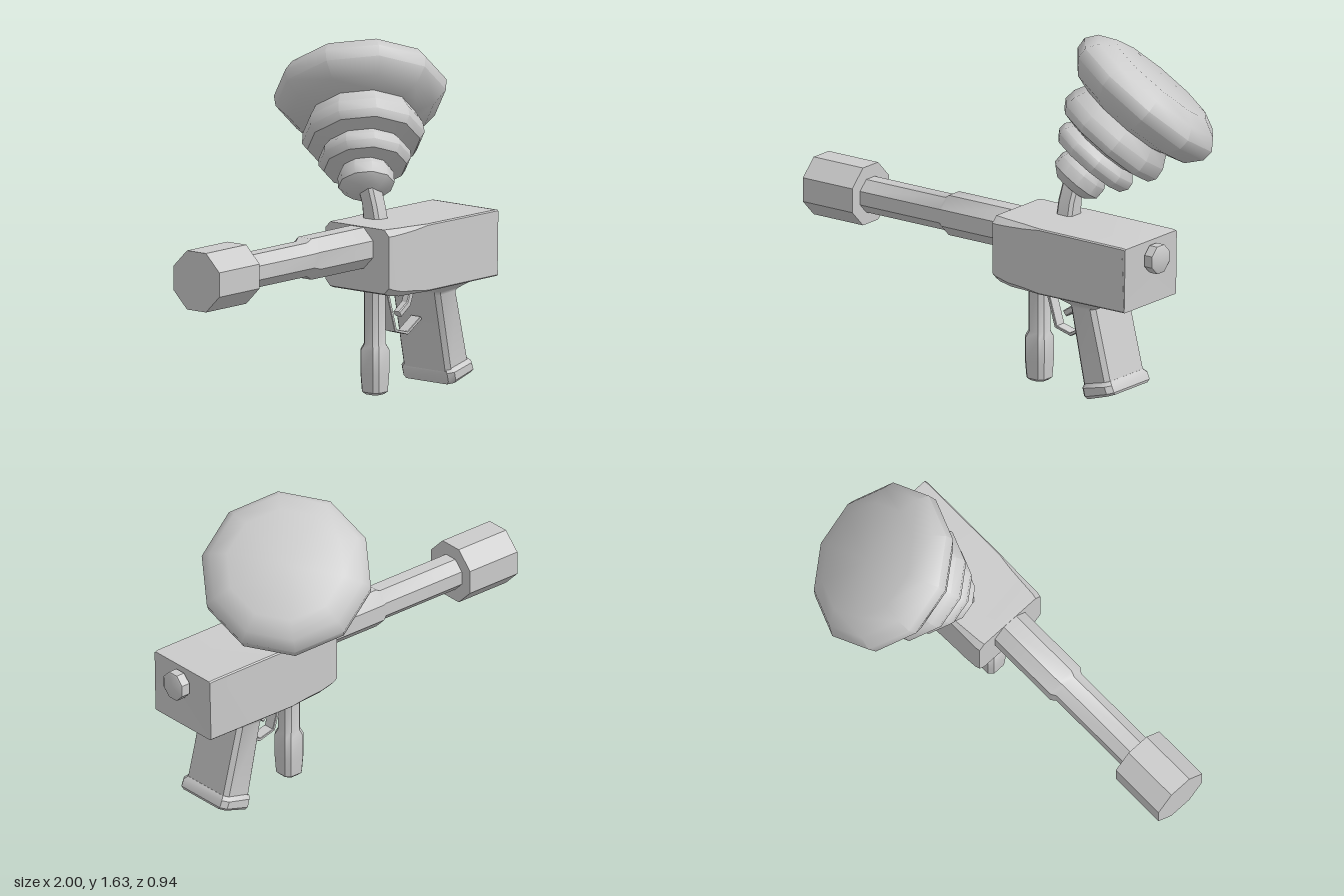
import * as THREE from 'three';
import { toCreasedNormals } from 'three/addons/utils/BufferGeometryUtils.js';

const Z = 0.262; // centre plane of body, barrel and grips
const material = new THREE.MeshStandardMaterial({ color: 0xcccccc });

function addPart(group, name, geometry, crease = 0.6) {
  const mesh = new THREE.Mesh(toCreasedNormals(geometry, crease), material);
  mesh.name = name;
  group.add(mesh);
  return mesh;
}

// Chamfered rectangle: spans a -> b in the xy plane and z0 +- hz, with corner cut c
function section(a, b, hz, c, z0 = Z) {
  const len = Math.hypot(b[0] - a[0], b[1] - a[1]), h = len / 2;
  const dx = (b[0] - a[0]) / len, dy = (b[1] - a[1]) / len;
  const mx = (a[0] + b[0]) / 2, my = (a[1] + b[1]) / 2;
  const uv = [
    [hz, c - h], [hz, h - c], [hz - c, h], [c - hz, h],
    [-hz, h - c], [-hz, c - h], [c - hz, -h], [hz - c, -h],
  ];
  return uv.map(([u, v]) => [mx + dx * v, my + dy * v, z0 + u]);
}

// Skin a row of sections and cap both ends
function loft(rings) {
  const n = rings[0].length, index = [], last = (rings.length - 1) * n;
  for (let i = 0; i < rings.length - 1; i++) {
    for (let j = 0; j < n; j++) {
      const k = (j + 1) % n, a = i * n, b = a + n;
      index.push(a + j, a + k, b + k, a + j, b + k, b + j);
    }
  }
  for (let j = 1; j < n - 1; j++) {
    index.push(0, j + 1, j, last, last + j, last + j + 1);
  }
  const geo = new THREE.BufferGeometry();
  geo.setAttribute('position', new THREE.Float32BufferAttribute(rings.flat(2), 3));
  geo.setIndex(index);
  return geo;
}

// Turned part along x, given [x, distance to flat] pairs, with flat top and bottom
function turnedX(profile, y, sides = 8) {
  const k = 1 / Math.cos(Math.PI / sides);
  const pts = profile.map(([x, r]) => new THREE.Vector2(r * k, x));
  const geo = new THREE.LatheGeometry(pts, sides, Math.PI / sides);
  return geo.rotateZ(-Math.PI / 2).translate(0, y, Z);
}

// Bent strip of constant section following xy points
function strip(points, thick, hz) {
  const rings = points.map((p, i) => {
    const q = points[Math.max(i - 1, 0)], r = points[Math.min(i + 1, points.length - 1)];
    const len = Math.hypot(r[0] - q[0], r[1] - q[1]);
    const nx = ((r[1] - q[1]) / len) * thick / 2, ny = (-(r[0] - q[0]) / len) * thick / 2;
    return section([p[0] - nx, p[1] - ny], [p[0] + nx, p[1] + ny], hz, thick * 0.15);
  });
  return loft(rings);
}

export function createModel() {
  const model = new THREE.Group();
  model.name = 'hopperGun';

  // Receiver, softer at the barrel end
  addPart(model, 'body', loft([
    section([0.155, 0.815], [0.155, 0.51], 0.195, 0.03),
    section([0.18, 0.815], [0.18, 0.5], 0.2, 0.03),
    section([0.25, 0.812], [0.25, 0.488], 0.2, 0.025),
    section([0.34, 0.81], [0.34, 0.488], 0.2, 0.018),
    section([0.43, 0.808], [0.43, 0.488], 0.2, 0.006),
    section([0.92, 0.805], [0.932, 0.49], 0.2, 0.006),
    section([0.938, 0.802], [0.932, 0.492], 0.198, 0.006),
  ]));

  // Barrel and muzzle
  addPart(model, 'barrel', turnedX(
    [[-0.72, 0], [-0.72, 0.08], [-0.245, 0.08], [-0.22, 0.097], [0.17, 0.097], [0.17, 0]], 0.715));
  addPart(model, 'muzzle', turnedX([[-1, 0], [-1, 0.14], [-0.71, 0.14], [-0.71, 0]], 0.717));

  // Knob at the rear
  addPart(model, 'rearKnob', turnedX(
    [[0.92, 0], [0.92, 0.045], [0.95, 0.045], [0.95, 0.066], [0.995, 0.066], [1, 0.058], [1, 0]], 0.718));

  // Rear grip with flared top and base plate
  addPart(model, 'rearGrip', loft([
    section([0.645, 0.05], [0.8, 0.09], 0.145, 0.02),
    section([0.565, 0.44], [0.71, 0.45], 0.145, 0.02),
    section([0.56, 0.455], [0.72, 0.46], 0.15, 0.02),
    section([0.525, 0.492], [0.765, 0.495], 0.195, 0.01),
  ]));
  addPart(model, 'gripBase', loft([
    section([0.655, 0.005], [0.822, 0.055], 0.15, 0.025),
    section([0.65, 0.02], [0.825, 0.068], 0.162, 0.025),
    section([0.64, 0.06], [0.812, 0.1], 0.162, 0.025),
    section([0.645, 0.08], [0.795, 0.115], 0.145, 0.02),
  ]));

  // Front grip, thicker in its lower half
  const foreLevels = [[0, 0.04], [0.012, 0.052], [0.1, 0.057], [0.21, 0.057], [0.24, 0.045], [0.5, 0.045]];
  addPart(model, 'frontGrip', loft(foreLevels.map(([y, h]) =>
    section([0.282 - h, y], [0.282 + h, y], h, 0.02))));

  // Trigger and its guard
  addPart(model, 'triggerGuard', strip(
    [[0.335, 0.5], [0.35, 0.45], [0.4, 0.285], [0.485, 0.262], [0.58, 0.32]], 0.016, 0.03));
  addPart(model, 'trigger', strip(
    [[0.56, 0.485], [0.53, 0.455], [0.505, 0.395], [0.445, 0.355]], 0.032, 0.02));

  // Feed neck leaning back to the hopper
  addPart(model, 'feedNeck', loft([
    section([0.343, 0.78], [0.433, 0.78], 0.05, 0.015, 0.18),
    section([0.343, 0.87], [0.433, 0.87], 0.045, 0.015, 0.165),
    section([0.348, 0.97], [0.438, 0.97], 0.045, 0.015, 0.13),
  ]));

  // Ribbed hopper: [radius, distance along its tilted axis]
  const ribs = [
    [0, -0.555], [0.085, -0.55], [0.132, -0.51], [0.132, -0.455], [0.115, -0.425],
    [0.195, -0.415], [0.218, -0.38], [0.215, -0.345], [0.185, -0.31],
    [0.265, -0.29], [0.288, -0.255], [0.282, -0.2], [0.25, -0.14],
    [0.34, -0.11], [0.4, -0.04], [0.405, 0.015], [0.365, 0.07], [0.28, 0.112], [0, 0.112],
  ];
  const hopper = addPart(model, 'hopper', new THREE.LatheGeometry(
    ribs.map(([r, t]) => new THREE.Vector2(r, t)), 10), 0.7);
  hopper.position.set(0.62, 1.345, -0.115);
  hopper.quaternion.setFromUnitVectors(
    new THREE.Vector3(0, 1, 0), new THREE.Vector3(0.455, 0.76, -0.46).normalize());

  return model;
}
